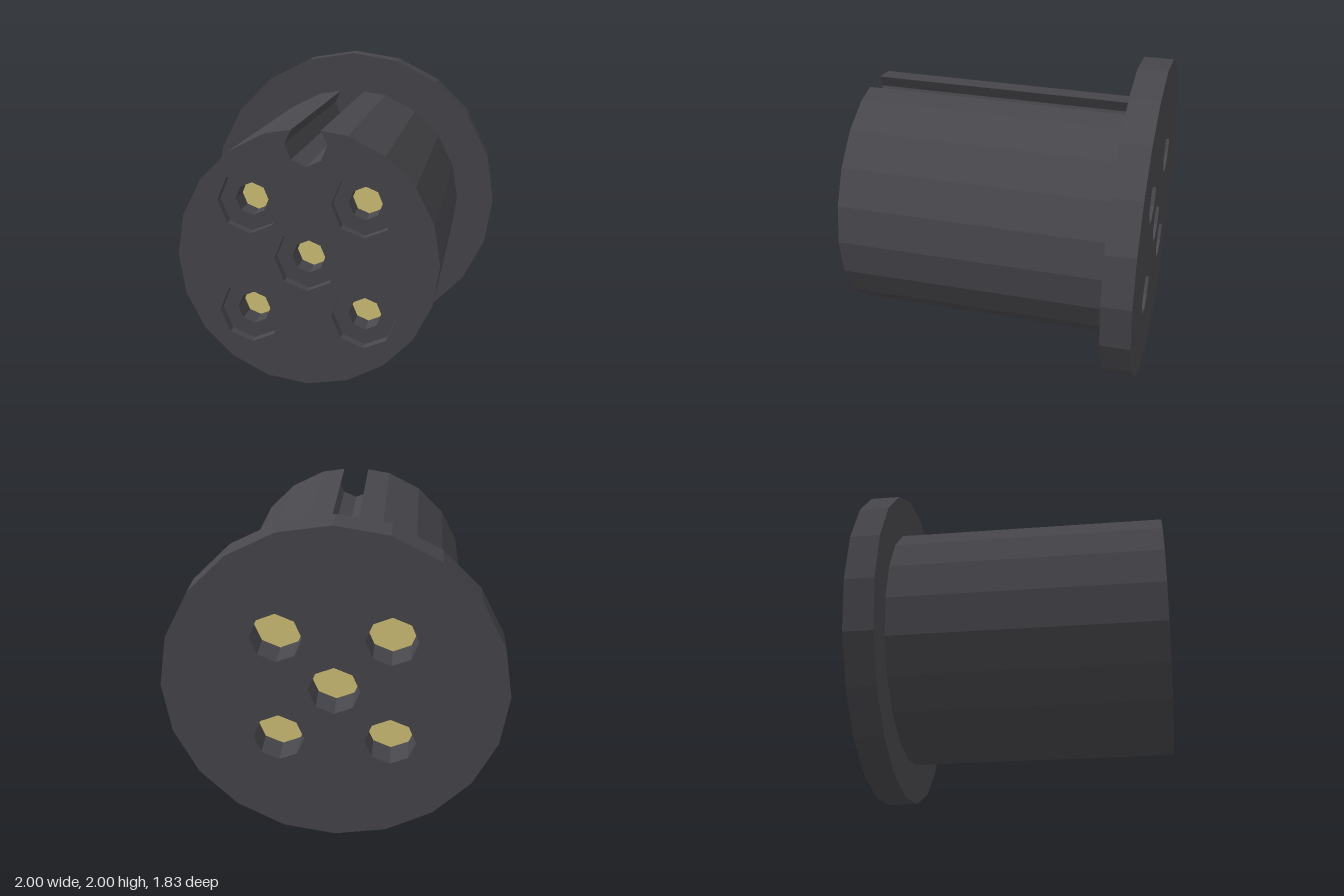
import * as THREE from 'three';

const FRONT = 0.915, BACK = -0.915, FLANGE_FRONT = -0.735;
const RECESS_Z = 0.85, PIN_FRONT = 0.7;
const SOCKETS = [[0, 0], [0.325, 0.325], [-0.325, 0.325], [0.325, -0.325], [-0.325, -0.325]];

// Corner points of a regular polygon with its first corner on +x
function polygon(radius, sides, cx = 0, cy = 0) {
  return Array.from({ length: sides }, (_, i) => {
    const a = (i / sides) * Math.PI * 2;
    return new THREE.Vector2(cx + radius * Math.cos(a), cy + radius * Math.sin(a));
  });
}

// Extrudes an outline with an octagonal hole at every socket, from z0 to z1
function drilledPlate(outline, holeRadius, z0, z1) {
  const shape = new THREE.Shape(outline);
  for (const [x, y] of SOCKETS) shape.holes.push(new THREE.Path(polygon(holeRadius, 8, x, y)));
  return new THREE.ExtrudeGeometry(shape, { depth: z1 - z0, bevelEnabled: false }).translate(0, 0, z0);
}

// Turns a y-axis geometry to z and gives it flat facets
function facetedAlongZ(geometry) {
  const g = geometry.rotateX(Math.PI / 2).toNonIndexed();
  g.computeVertexNormals();
  return g;
}

export function createModel() {
  const housing = new THREE.MeshStandardMaterial({ color: 0x48474c });
  const brass = new THREE.MeshStandardMaterial({ color: 0xd6c67a });
  const model = new THREE.Group();
  const body = new THREE.Group();
  body.name = 'connector';
  body.position.y = 1;
  model.add(body);

  const add = (name, geometry, material, x = 0, y = 0) => {
    const mesh = new THREE.Mesh(geometry, material);
    mesh.name = name;
    mesh.position.set(x, y, 0);
    body.add(mesh);
  };

  // Rear flange with wide bores
  add('flange', drilledPlate(polygon(1, 20), 0.15, BACK, FLANGE_FRONT), housing);

  // Barrel outline: 20 sides, with the top corner replaced by a keyway
  const keyway = [[0.083, 0.737], [0.12, 0.66], [0.085, 0.57], [0, 0.533],
    [-0.085, 0.57], [-0.12, 0.66], [-0.083, 0.737]].map(([x, y]) => new THREE.Vector2(x, y));
  const outline = polygon(0.75, 20);
  outline.splice(5, 1, ...keyway);
  add('barrel', drilledPlate(outline, 0.185, FLANGE_FRONT, FRONT), housing);

  // Each socket: recess floor and narrow bore, with a brass contact inside
  const sleeve = facetedAlongZ(new THREE.LatheGeometry([
    new THREE.Vector2(0.185, RECESS_Z),
    new THREE.Vector2(0.095, RECESS_Z),
    new THREE.Vector2(0.095, PIN_FRONT),
  ], 8));
  const contact = facetedAlongZ(new THREE.CylinderGeometry(0.15, 0.15, PIN_FRONT - FLANGE_FRONT, 8)
    .translate(0, (PIN_FRONT + FLANGE_FRONT) / 2, 0));
  // Keep the contact's rear face just clear of the flange's front plane
  contact.translate(0, 0, -0.002);
  for (const [x, y] of SOCKETS) {
    add('socketSleeve', sleeve, housing, x, y);
    add('contact', contact, brass, x, y);
  }
  return model;
}
